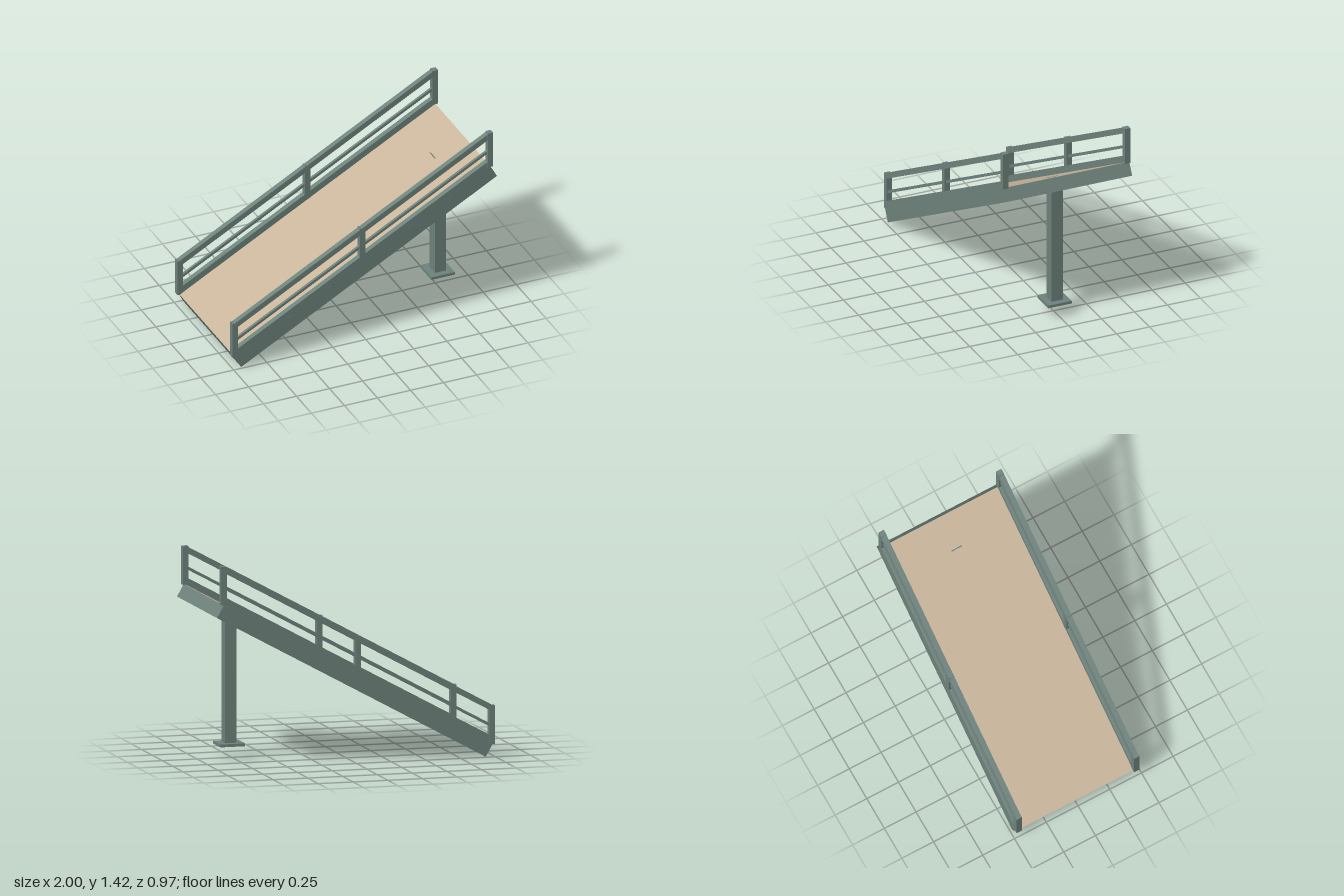
import * as THREE from 'three';

export function createModel() {
  const model = new THREE.Group();
  model.name = 'inclinedWalkway';

  const steel = new THREE.MeshStandardMaterial({ color: 0x6e827c });
  steel.name = 'grey green steel';
  const decking = new THREE.MeshStandardMaterial({ color: 0xc8b59a });
  decking.name = 'tan decking';

  // Walking surface line, from the low end to the high end
  const low = { x: -0.983, y: 0.087 };
  const high = { x: 0.952, y: 1.147 };
  const slope = (high.y - low.y) / (high.x - low.x);
  const angle = Math.atan(slope);
  const length = Math.hypot(high.x - low.x, high.y - low.y);
  const surfaceY = (x) => low.y + (x - low.x) * slope;

  function box(parent, name, material, size, position) {
    const mesh = new THREE.Mesh(new THREE.BoxGeometry(...size), material);
    mesh.name = name;
    mesh.position.set(...position);
    parent.add(mesh);
    return mesh;
  }

  // Tilted group: local x runs up the slope, local y = 0 is the slab top
  const incline = new THREE.Group();
  incline.name = 'incline';
  incline.position.set((low.x + high.x) / 2, (low.y + high.y) / 2, 0);
  incline.rotation.z = angle;
  model.add(incline);

  const width = 0.966;
  const railWidth = 0.04;
  const railZ = width / 2 - railWidth / 2;
  box(incline, 'slab', steel, [length, 0.099, width], [0, -0.0495, 0]);
  box(incline, 'deck', decking, [length, 0.002, width - 2 * railWidth], [0, 0.001, 0]);

  // Railings: vertical posts, with rails that follow the slope
  for (const [side, s] of [['left', -1], ['right', 1]]) {
    const z = s * railZ;
    const rail = (name, height, depth, offset) => {
      // Move along the slope so a vertical offset keeps the same x range
      const along = offset * Math.sin(angle);
      box(incline, side + name, steel, [length - 0.02, height, depth],
        [along, offset * Math.cos(angle), z]);
    };
    rail('Curb', 0.048, railWidth, 0.0275);
    rail('MidRail', 0.02, 0.02, 0.125);
    rail('TopRail', 0.04, railWidth, 0.251);

    for (const x of [-0.98, -0.016, 0.95]) {
      box(model, side + 'Post', steel, [0.041, 0.27, railWidth + 0.002],
        [x, surfaceY(x) + 0.135, z]);
    }
  }

  // Support column, whose top just reaches through the deck
  const columnBase = 0.108;
  const columnTop = 1.03;
  box(model, 'column', steel, [0.085, columnTop - columnBase, 0.085],
    [0.77, (columnTop + columnBase) / 2, 0]);
  box(model, 'footPlate', steel, [0.178, 0.02, 0.178], [0.77, 0.098, 0]);

  return model;
}
